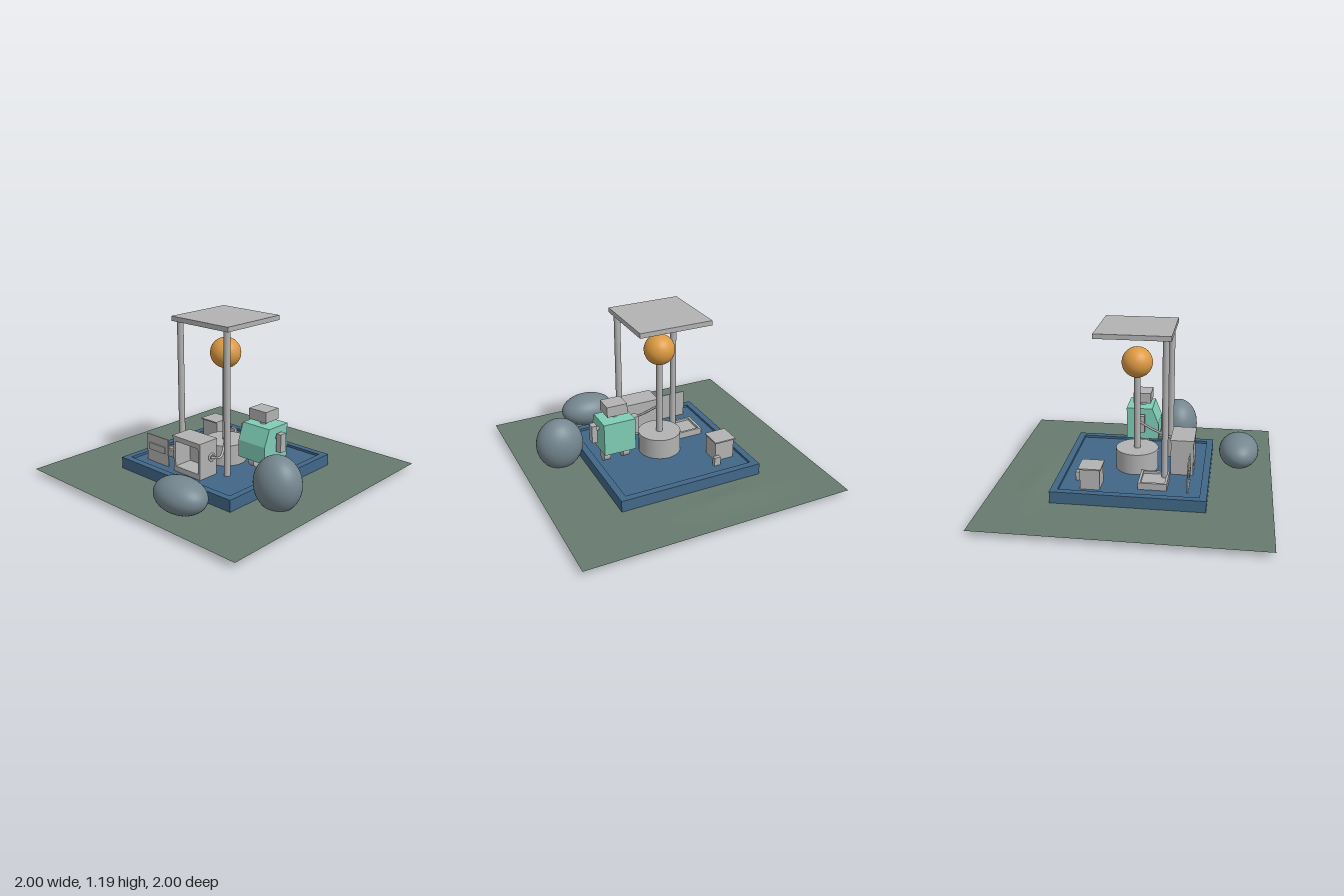
import * as THREE from 'three';

const mat = (name, color, side = THREE.FrontSide) => {
  const m = new THREE.MeshStandardMaterial({ color, side });
  m.name = name;
  return m;
};

export function createModel() {
  const root = new THREE.Group();
  root.name = 'courtyardModel';
  const grey = mat('plain grey', 0xb2b2b2);
  const greyDouble = grey;
  const blue = mat('deck blue', 0x416788);
  const mint = mat('mint', 0x7fcdb6);
  const amber = mat('amber', 0xdc9a40);
  const stone = mat('stone', 0x74868f);
  const moss = mat('moss ground', 0x687b6f, THREE.DoubleSide);

  const add = (name, geo, m, x = 0, y = 0, z = 0, parent = root) => {
    const mesh = new THREE.Mesh(geo, m);
    mesh.name = name;
    mesh.position.set(x, y, z);
    parent.add(mesh);
    return mesh;
  };
  // Box given by its extents on each axis
  const box = (name, m, [x0, x1], [y0, y1], [z0, z1], parent = root) =>
    add(name, new THREE.BoxGeometry(x1 - x0, y1 - y0, z1 - z0), m,
      (x0 + x1) / 2, (y0 + y1) / 2, (z0 + z1) / 2, parent);
  // Upright cylinder given by its lower and upper height
  const post = (name, m, r, y0, y1, x, z, parent = root) =>
    add(name, new THREE.CylinderGeometry(r, r, y1 - y0, 32), m, x, (y0 + y1) / 2, z, parent);
  const group = (name) => {
    const g = new THREE.Group();
    g.name = name;
    root.add(g);
    return g;
  };

  // Ground sheet with a low mound at the back
  const ground = new THREE.PlaneGeometry(2, 2, 48, 48).rotateX(-Math.PI / 2);
  const p = ground.attributes.position;
  for (let i = 0; i < p.count; i++) {
    const dx = (p.getX(i) + 0.2) / 0.3, dz = (p.getZ(i) + 0.71) / 0.09;
    p.setY(i, 0.04 + 0.014 * Math.exp(-dx * dx - dz * dz));
  }
  ground.computeVertexNormals();
  add('ground', ground, moss);
  add('groundUnderside', new THREE.PlaneGeometry(1.82, 1.82).rotateX(Math.PI / 2), greyDouble, 0, 0.038, 0);

  // Deck with a raised rim
  const floorY = 0.108;
  const deck = group('deck');
  box('deckFloor', blue, [-0.545, 0.545], [0.036, floorY], [-0.545, 0.545], deck);
  const square = (s) => [[-s, -s], [s, -s], [s, s], [-s, s]].map(([x, y]) => new THREE.Vector2(x, y));
  const rimShape = new THREE.Shape(square(0.545));
  rimShape.holes.push(new THREE.Path(square(0.495)));
  add('deckRim', new THREE.ExtrudeGeometry(rimShape, { depth: 0.126 - floorY, bevelEnabled: false })
    .rotateX(-Math.PI / 2), blue, 0, floorY, 0, deck);

  // Canopy on two front posts
  const canopy = group('canopy');
  box('canopyRoof', grey, [-0.27, 0.27], [1.155, 1.19], [-0.27, 0.27], canopy);
  for (const s of [-1, 1]) post('canopyPost', grey, 0.023, floorY, 1.155, s * 0.225, 0.228, canopy);

  // Central drum, column and globe
  const lamp = group('lamp');
  post('drum', grey, 0.157, floorY, 0.263, 0, 0, lamp);
  post('column', grey, 0.024, 0.26, 0.83, 0, 0, lamp);
  add('globe', new THREE.SphereGeometry(0.112, 40, 28), amber, 0, 0.922, 0, lamp);

  // Open-fronted cabinet
  const cabinet = group('cabinet');
  const front = 0.425, back = 0.26;
  box('cabinetBack', grey, [-0.112, 0.152], [floorY, 0.36], [back, back + 0.02], cabinet);
  box('cabinetFloor', grey, [-0.112, 0.152], [floorY, 0.148], [back, front], cabinet);
  box('cabinetHeader', grey, [-0.112, 0.152], [0.338, 0.36], [back, front], cabinet);
  box('cabinetSide', grey, [-0.112, -0.092], [floorY, 0.36], [back, front], cabinet);
  box('cabinetSide', grey, [0.132, 0.152], [floorY, 0.36], [back, front], cabinet);
  box('cabinetLid', grey, [-0.117, 0.157], [0.36, 0.378], [back - 0.004, 0.43], cabinet);
  add('cabinetPort', new THREE.TorusGeometry(0.024, 0.008, 10, 24).rotateY(Math.PI / 2), grey, 0.155, 0.25, 0.31, cabinet);

  // Hose from the column to the cabinet port
  const hose = new THREE.CatmullRomCurve3([
    [0.01, 0.465, 0.01], [0.09, 0.375, 0.1], [0.175, 0.29, 0.21], [0.2, 0.25, 0.275], [0.15, 0.245, 0.31],
  ].map((v) => new THREE.Vector3(...v)));
  add('hose', new THREE.TubeGeometry(hose, 32, 0.009, 10), grey);

  // Sign board with a thin plate
  const sign = group('signBoard');
  box('signPanel', grey, [-0.41, -0.187], [floorY, 0.315], [0.4, 0.409], sign);
  box('signPlate', grey, [-0.38, -0.218], [0.2, 0.252], [0.409, 0.417], sign);

  // Low rimmed tray
  const tray = group('tray');
  box('trayFloor', grey, [-0.39, -0.17], [floorY, 0.14], [0.055, 0.26], tray);
  for (const x of [-0.39, -0.19]) box('traySide', grey, [x, x + 0.02], [0.14, 0.158], [0.055, 0.26], tray);
  for (const z of [0.055, 0.242]) box('trayEnd', grey, [-0.37, -0.19], [0.14, 0.158], [z, z + 0.018], tray);

  // Crate with a lid and a little block beside it
  const crate = group('crate');
  box('crateBody', grey, [-0.437, -0.287], [floorY, 0.26], [-0.347, -0.207], crate);
  box('crateLid', grey, [-0.447, -0.28], [0.258, 0.268], [-0.358, -0.197], crate);
  box('smallBlock', grey, [-0.3, -0.25], [floorY, 0.173], [-0.406, -0.376]);

  // Mint robot: sloped body, head, arms and wheels
  const robot = group('robot');
  const profile = new THREE.Shape([[-0.13, 0.23], [-0.13, 0.355], [-0.082, 0.475], [0.115, 0.475], [0.115, 0.23]]
    .map(([x, y]) => new THREE.Vector2(x, y)));
  const body = new THREE.ExtrudeGeometry(profile, { depth: 0.24, bevelEnabled: false }).rotateY(Math.PI / 2);
  add('robotBody', body, mint, 0.245, 0, 0, robot);
  const cx = 0.363;
  post('robotNeck', grey, 0.025, 0.47, 0.51, cx, 0, robot);
  box('robotHead', grey, [cx - 0.077, cx + 0.077], [0.506, 0.585], [-0.068, 0.067], robot);
  const axial = (r, w) => new THREE.CylinderGeometry(r, r, w, 28).rotateZ(Math.PI / 2);
  for (const s of [-1, 1]) {
    const ax = cx + s * 0.162;
    box('robotArm', grey, [ax - 0.02, ax + 0.02], [0.303, 0.437], [-0.029, 0.029], robot);
    add('robotShoulder', axial(0.015, 0.04), grey, cx + s * 0.13, 0.4, 0, robot);
    add('robotWheel', axial(0.045, 0.05), grey, cx + s * 0.075, 0.172, 0, robot);
    box('robotStrut', grey, [cx + s * 0.075 - 0.015, cx + s * 0.075 + 0.015], [0.19, 0.235], [-0.02, 0.02], robot);
  }

  // Smooth boulders
  const boulder = (x, y, z, rx, ry, rz) =>
    add('boulder', new THREE.SphereGeometry(1, 40, 28).scale(rx, ry, rz), stone, x, y, z);
  boulder(0.702, 0.197, 0.25, 0.176, 0.197, 0.15);
  boulder(0.293, 0.155, 0.75, 0.211, 0.125, 0.15);

  return root;
}
